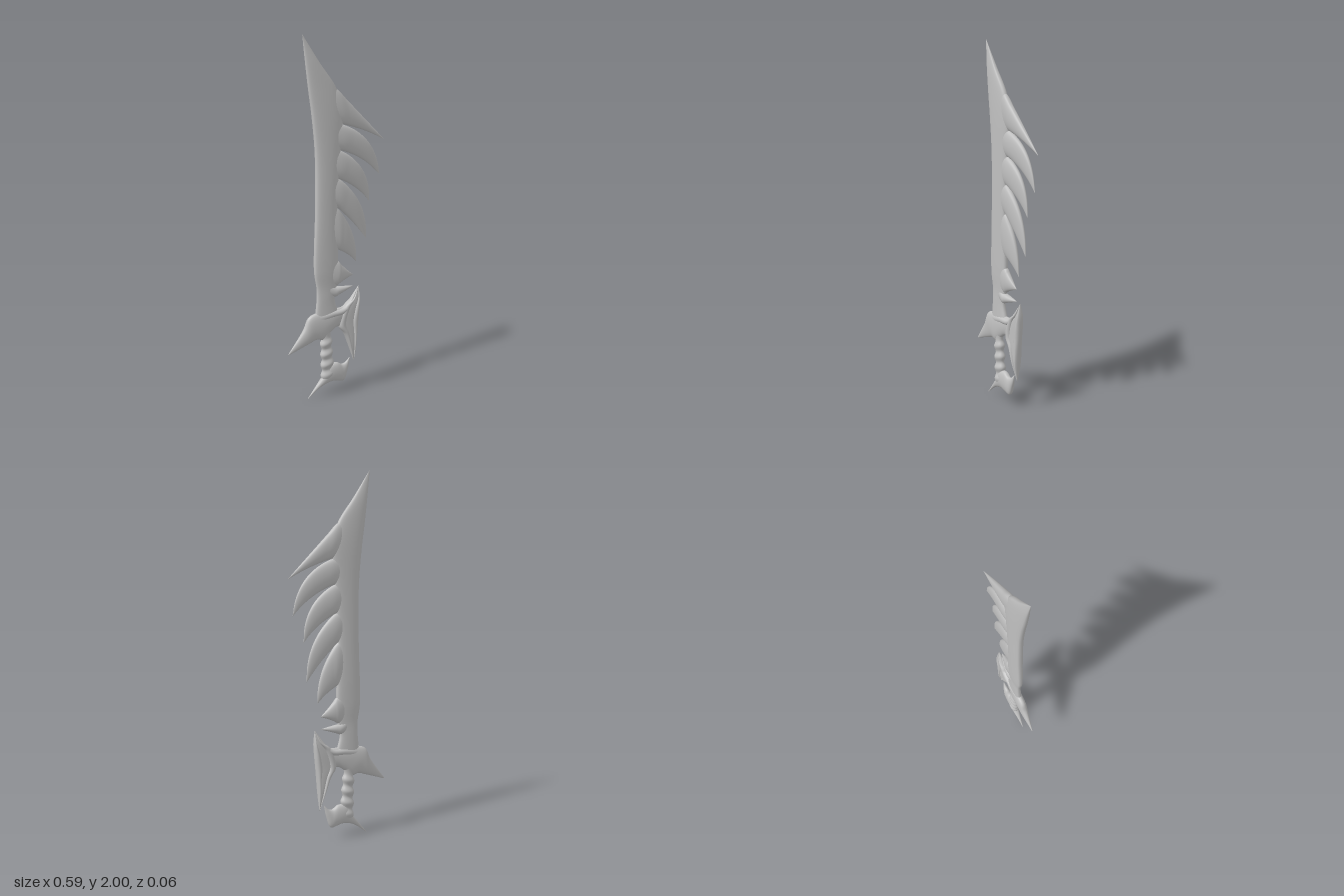
import * as THREE from 'three';

const steel = new THREE.MeshStandardMaterial({ color: 0xc0c0c0 });
steel.name = 'pale steel';

// Lofts a smooth lens-shaped solid. Each row is [ax, ay, bx, by, t]:
// the two edge points of a section and its half thickness in z.
// A lower power gives flatter faces.
function loft(name, rows, power = 0.8) {
  const sides = 28, n = (rows.length - 1) * 8;
  const curveA = new THREE.CatmullRomCurve3(rows.map(r => new THREE.Vector3(r[0], r[1], r[4])));
  const curveB = new THREE.CatmullRomCurve3(rows.map(r => new THREE.Vector3(r[2], r[3], r[4])));
  const pos = [], index = [];
  let turn = 0, last = null;
  for (let i = 0; i <= n; i++) {
    const a = curveA.getPoint(i / n), b = curveB.getPoint(i / n);
    const cx = (a.x + b.x) / 2, cy = (a.y + b.y) / 2;
    const wx = (b.x - a.x) / 2, wy = (b.y - a.y) / 2;
    if (last) turn += wx * (cy - last[1]) - wy * (cx - last[0]);
    last = [cx, cy];
    const t = Math.max(a.z, 0.0004);
    for (let j = 0; j < sides; j++) {
      const q = (j / sides) * Math.PI * 2, s = Math.sin(q);
      pos.push(cx + wx * Math.cos(q), cy + wy * Math.cos(q), t * Math.sign(s) * Math.abs(s) ** power);
    }
  }
  // wind the faces outward whichever way the rows run
  for (let i = 0; i < n; i++) {
    for (let j = 0; j < sides; j++) {
      const k = (j + 1) % sides;
      const a = i * sides + j, b = i * sides + k, c = a + sides, d = b + sides;
      if (turn < 0) index.push(a, b, c, b, d, c);
      else index.push(a, c, b, b, c, d);
    }
  }
  const g = new THREE.BufferGeometry();
  g.setAttribute('position', new THREE.Float32BufferAttribute(pos, 3));
  g.setIndex(index);
  g.computeVertexNormals();
  const mesh = new THREE.Mesh(g, steel);
  mesh.name = name;
  return mesh;
}

// Long blade: level sections of [y, left edge, right edge, half thickness]
function makeBlade() {
  const sections = [
    [2.0, -0.192, -0.19, 0],
    [1.86, -0.176, -0.096, 0.015],
    [1.725, -0.16, 0.0, 0.022],
    [1.6, -0.143, 0.035, 0.025],
    [1.4, -0.125, 0.022, 0.025],
    [1.09, -0.125, 0.003, 0.025],
    [0.75, -0.135, 0.008, 0.022],
    [0.65, -0.121, 0.0, 0.018],
    [0.58, -0.121, -0.013, 0.019],
    [0.46, -0.135, 0.02, 0.021],
  ];
  return loft('blade', sections.map(([y, l, r, t]) => [l, y, r, y, t]), 0.65);
}

// Bowed edge from a root point to a tip; bow is the bulge relative to length
function bowedEdge(x, y, tipX, tipY, bow) {
  const mid = new THREE.Vector2((x + tipX) / 2 + (y - tipY) * 2 * bow, (y + tipY) / 2 + (tipX - x) * 2 * bow);
  return new THREE.QuadraticBezierCurve(new THREE.Vector2(x, y), mid, new THREE.Vector2(tipX, tipY));
}

// Hooked tooth, rooted inside the blade and thinning to its tip
function makeTooth(name, [topX, topY, lowX, lowY, tipX, tipY, topBow, lowBow]) {
  const top = bowedEdge(topX, topY, tipX, tipY, topBow);
  const low = bowedEdge(lowX, lowY, tipX, tipY - 0.002, lowBow);
  const rows = [[-0.07, topY + 0.03, -0.07, lowY + 0.02, 0.013]];
  for (let i = 0; i <= 5; i++) {
    const s = i / 5, a = top.getPoint(s), b = low.getPoint(s);
    rows.push([a.x, a.y, b.x, b.y, 0.024 * (1 - s ** 1.6)]);
  }
  return loft(name, rows);
}

function makeTeeth() {
  const group = new THREE.Group();
  group.name = 'bladeTeeth';
  // upper root, lower root, tip, upper bow, lower bow
  [
    [0.0, 1.725, 0.033, 1.54, 0.292, 1.44, 0, 0.03],
    [0.035, 1.538, 0.03, 1.4, 0.268, 1.247, 0.157, 0.07],
    [0.022, 1.402, 0.015, 1.248, 0.205, 1.105, 0.16, 0.067],
    [0.014, 1.25, 0.002, 1.094, 0.189, 0.893, 0.13, 0.03],
    [0.0, 1.095, 0.008, 0.857, 0.126, 0.771, 0.1, 0.05],
    [0.01, 0.79, 0.0, 0.65, 0.105, 0.697, -0.02, 0.03],
    [-0.01, 0.645, -0.01, 0.588, 0.105, 0.629, 0, 0],
  ].forEach((tooth, i) => group.add(makeTooth(`tooth${i + 1}`, tooth)));
  return group;
}

// Guard: horned crosspiece, and a side fin hollowed between raised rims
function makeGuard() {
  const guard = new THREE.Group();
  guard.name = 'guard';
  const fin = [
    [0.14, 0.624, 0.142, 0.624, 0.001],
    [0.103, 0.56, 0.146, 0.55, 0.012],
    [0.05, 0.517, 0.143, 0.49, 0.015],
    [0.015, 0.41, 0.137, 0.42, 0.015],
    [0.048, 0.355, 0.131, 0.36, 0.015],
    [0.08, 0.273, 0.123, 0.27, 0.013],
    [0.113, 0.172, 0.115, 0.172, 0.001],
  ];
  // a rim covers the strip of the fin between fractions u and v of its width
  const rim = (name, u, v) => loft(name, fin.map(([ax, ay, bx, by, t]) => [
    ax + (bx - ax) * u, ay + (by - ay) * u, ax + (bx - ax) * v, ay + (by - ay) * v, t * 1.55,
  ]));
  guard.add(
    loft('guardHorn', [
      [-0.298, 0.302, -0.297, 0.296, 0.002],
      [-0.204, 0.425, -0.175, 0.338, 0.021],
      [-0.17, 0.492, -0.125, 0.353, 0.025],
      [-0.1, 0.512, -0.085, 0.345, 0.026],
      [-0.03, 0.514, -0.04, 0.38, 0.024],
      [0.03, 0.515, 0.0, 0.405, 0.019],
      [0.085, 0.52, 0.045, 0.4, 0.012],
    ]),
    loft('guardFin', fin, 0.6),
    rim('innerRim', 0, 0.36),
    rim('outerRim', 0.7, 1),
    loft('upperRim', [
      [-0.13, 0.5, -0.13, 0.44, 0.02],
      [-0.04, 0.508, -0.04, 0.465, 0.026],
      [0.05, 0.518, 0.06, 0.485, 0.024],
      [0.139, 0.62, 0.142, 0.618, 0.002],
    ]),
  );
  return guard;
}

// Grip with slanted swellings
function makeGrip() {
  const rows = [[-0.105, 0.4, -0.03, 0.41, 0.022]];
  for (let i = 0; i <= 8; i++) {
    const y = 0.355 - i * 0.032, bulge = i % 2 ? 0.007 : -0.002;
    const x = -0.066 + 0.0015 * i, w = 0.028 + 0.001 * i + bulge;
    rows.push([x - w, y - 0.008, x + w, y + 0.008, 0.021 + bulge]);
  }
  return loft('grip', rows, 0.9);
}

// Pommel: tail spike on one side, upturned claw on the other
function makePommel() {
  return loft('pommel', [
    [-0.183, 0.003, -0.181, 0.0, 0.001],
    [-0.132, 0.064, -0.125, 0.044, 0.01],
    [-0.088, 0.118, -0.08, 0.068, 0.019],
    [-0.05, 0.18, -0.025, 0.078, 0.025],
    [0.0, 0.187, 0.012, 0.07, 0.024],
    [0.035, 0.168, 0.046, 0.066, 0.02],
    [0.058, 0.172, 0.071, 0.125, 0.013],
    [0.086, 0.199, 0.088, 0.197, 0.001],
  ]);
}

export function createModel() {
  const model = new THREE.Group();
  model.name = 'toothedSword';
  model.add(makeBlade(), makeTeeth(), makeGuard(), makeGrip(), makePommel());
  return model;
}
